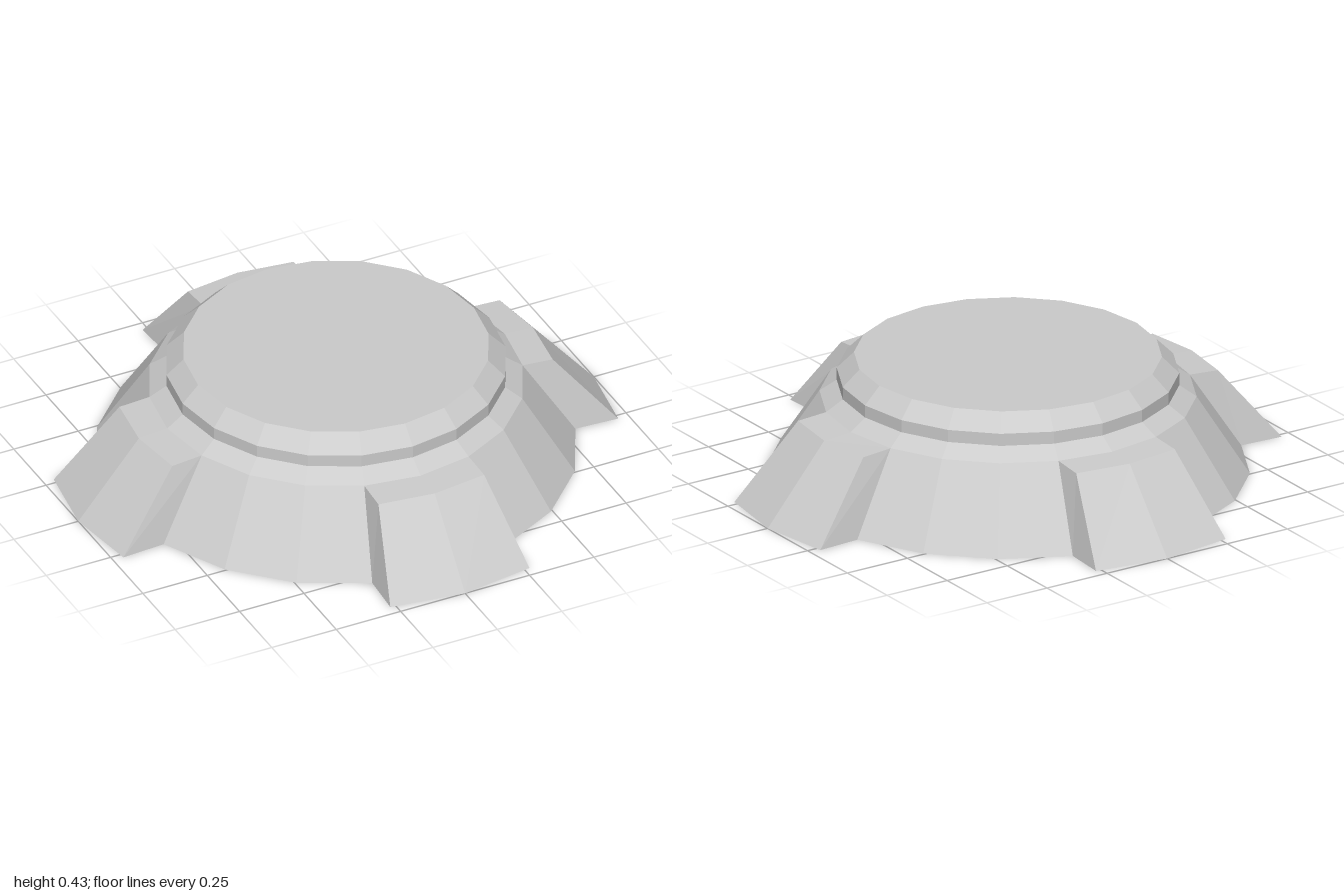
import * as THREE from 'three';

const material = new THREE.MeshStandardMaterial({ color: 0xcccccc, flatShading: true });

// Foot pointing to +z, lofted through three cross-sections from -x to +x.
// Each section runs: inner bottom, outer bottom, outer top, inner top.
function footGeometry() {
  const sections = [-1, 0, 1].map((side) => {
    const angle = side * Math.PI / 10;
    const s = Math.sin(angle), c = Math.cos(angle);
    return [
      [0.84 * s, 0, 0.84 * c],
      [0.27 * side, 0, side ? 0.96 : 1],
      [0.205 * side, 0.276, side ? 0.738 : 0.765],
      [0.655 * s, 0.284, 0.655 * c],
    ];
  });
  const positions = [];
  const quad = (a, b, c, d) => positions.push(...a, ...b, ...c, ...a, ...c, ...d);

  for (let i = 0; i < 2; i++) {
    for (let j = 0; j < 3; j++) {
      quad(sections[i][j], sections[i + 1][j], sections[i + 1][j + 1], sections[i][j + 1]);
    }
  }
  // Side walls
  quad(...sections[0]);
  quad(...[...sections[2]].reverse());

  const geometry = new THREE.BufferGeometry();
  geometry.setAttribute('position', new THREE.Float32BufferAttribute(positions, 3));
  geometry.computeVertexNormals();
  return geometry;
}

export function createModel() {
  const model = new THREE.Group();
  model.name = 'pedestal';

  // Twenty-sided body: sloped skirt, narrow neck, upright rim and bevelled top
  const profile = [
    [0, 0], [0.84, 0], [0.655, 0.284], [0.595, 0.325],
    [0.595, 0.37], [0.535, 0.43], [0, 0.43],
  ].map(([r, y]) => new THREE.Vector2(r, y));
  const body = new THREE.Mesh(new THREE.LatheGeometry(profile, 20), material);
  body.name = 'body';
  model.add(body);

  // Four feet, one on each side
  const geometry = footGeometry();
  ['frontFoot', 'leftFoot', 'backFoot', 'rightFoot'].forEach((name, i) => {
    const foot = new THREE.Mesh(geometry, material);
    foot.name = name;
    foot.rotation.y = i * Math.PI / 2;
    model.add(foot);
  });

  return model;
}
